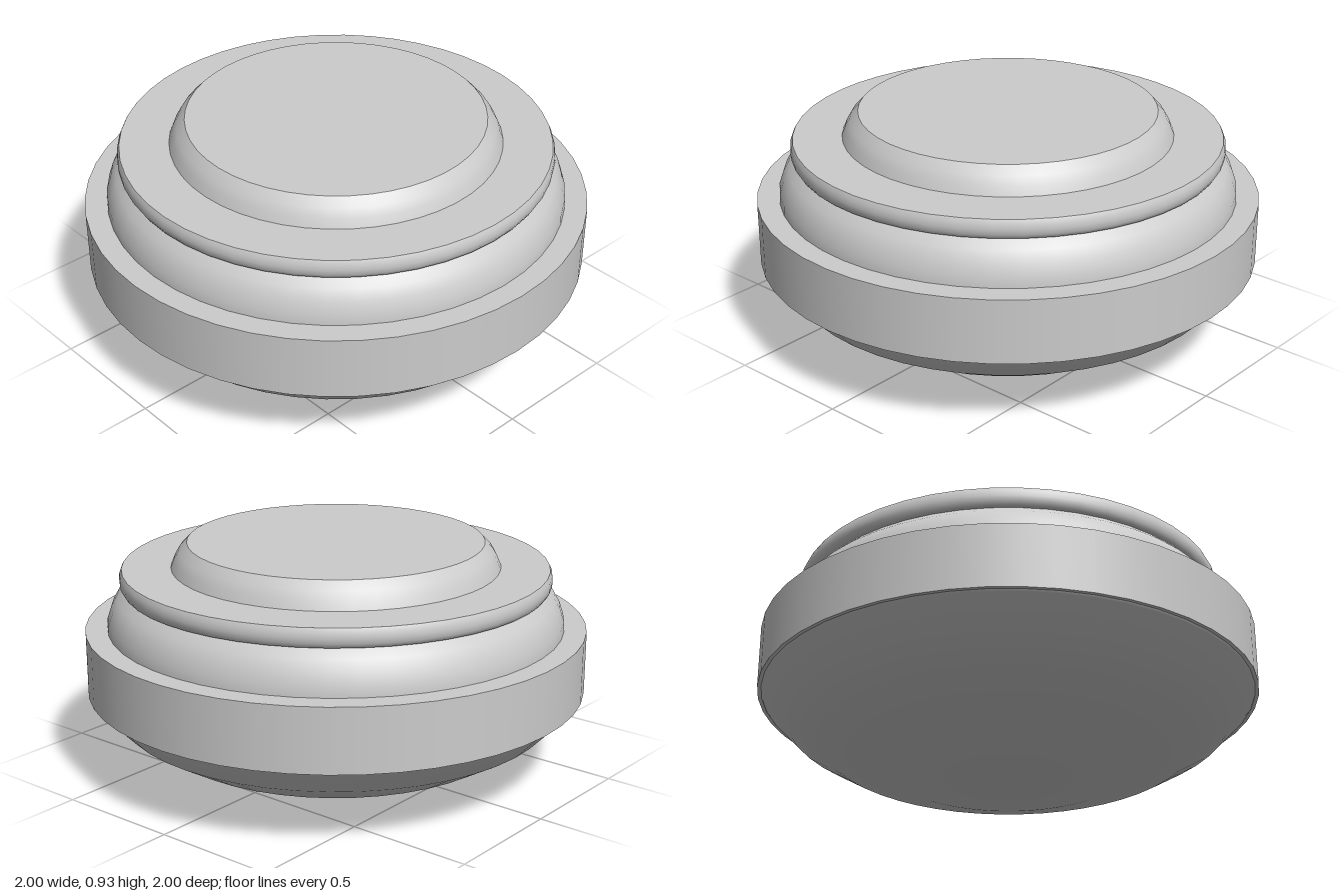
import * as THREE from 'three';

const SEGMENTS = 48;

export function createModel() {
  const model = new THREE.Group();
  model.name = 'roundButton';
  const material = new THREE.MeshStandardMaterial({ color: 0xcccccc });

  // Each part is one or more smooth surfaces of revolution; edges between them stay sharp.
  function turned(name, ...profiles) {
    const part = new THREE.Group();
    part.name = name;
    for (const profile of profiles) {
      const points = profile.map(([r, y]) => new THREE.Vector2(r, y));
      const mesh = new THREE.Mesh(new THREE.LatheGeometry(points, SEGMENTS), material);
      mesh.name = name + 'Surface';
      part.add(mesh);
    }
    model.add(part);
  }

  // Shallow rounded underside
  turned('lowerDome',
    [[0, 0], [0.21, 0.004], [0.48, 0.05], [0.725, 0.125], [0.875, 0.215], [0.98, 0.325], [0.985, 0.333]]);

  // Wide straight rim with flat ledges
  turned('rimBand',
    [[0.985, 0.333], [1, 0.333]],
    [[1, 0.333], [1, 0.587]],
    [[1, 0.587], [0.912, 0.587]]);

  // Bulging shoulder above the rim
  turned('shoulder',
    [[0.912, 0.587], [0.91, 0.625], [0.893, 0.675], [0.87, 0.715], [0.835, 0.748]]);

  // Thin collar with rounded edge and flat top
  turned('collar',
    [[0.835, 0.748], [0.847, 0.75], [0.857, 0.767], [0.859, 0.787], [0.857, 0.808], [0.849, 0.825]],
    [[0.849, 0.825], [0.655, 0.825]]);

  // Raised cap with a curved side and flat top
  turned('topCap',
    [[0.655, 0.825], [0.641, 0.859], [0.622, 0.892], [0.59, 0.925]],
    [[0.59, 0.925], [0, 0.925]]);

  return model;
}
